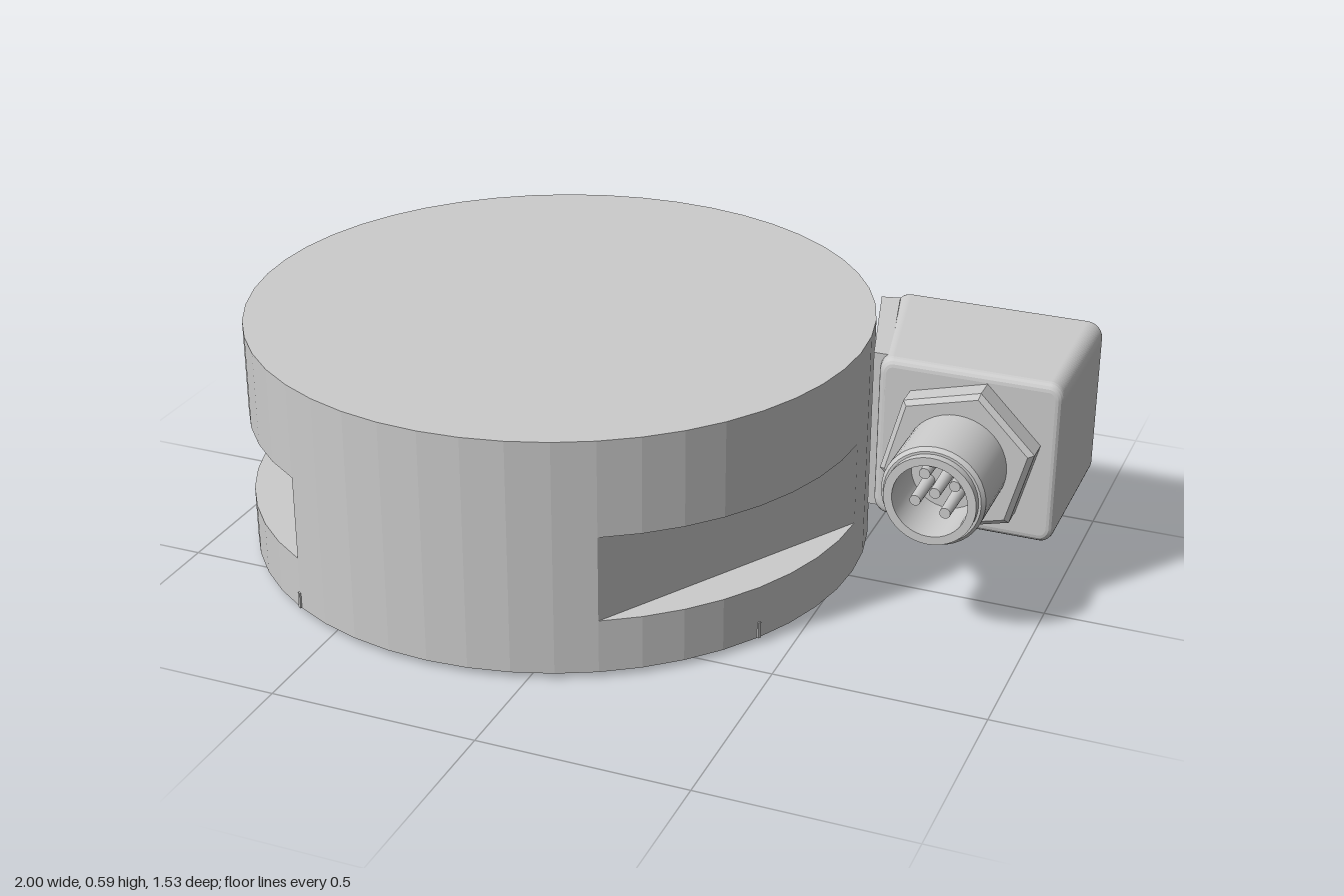
import * as THREE from 'three';

const CX = -0.237, R = 0.763, DEG = Math.PI / 180;
const grey = new THREE.MeshStandardMaterial({ color: 0xcccccc, side: THREE.DoubleSide });

function add(parent, geometry, name) {
  const m = new THREE.Mesh(geometry, grey);
  m.name = name;
  parent.add(m);
  return m;
}

// Plan-view point: angle runs from +x towards +z
const polar = (deg, r) => new THREE.Vector2(r * Math.cos(deg * DEG), -r * Math.sin(deg * DEG));

function circle(r, steps = 48, centre = new THREE.Vector2()) {
  const pts = [];
  for (let i = 0; i < steps; i++) pts.push(polar((i * 360) / steps, r).add(centre));
  return pts;
}

// Horizontal slab between two heights with optional holes
function slab(points, holes, y0, y1) {
  const shape = new THREE.Shape(points);
  shape.holes = holes.map((h) => new THREE.Path(h));
  const g = new THREE.ExtrudeGeometry(shape, { depth: y1 - y0, bevelEnabled: false });
  return g.rotateX(-Math.PI / 2).translate(0, y0, 0);
}

function roundedRect(x0, x1, y0, y1, r) {
  const s = new THREE.Shape();
  s.absarc(x1 - r, y1 - r, r, 0, Math.PI / 2);
  s.absarc(x0 + r, y1 - r, r, Math.PI / 2, Math.PI);
  s.absarc(x0 + r, y0 + r, r, Math.PI, Math.PI * 1.5);
  s.absarc(x1 - r, y0 + r, r, Math.PI * 1.5, Math.PI * 2);
  s.closePath();
  return s;
}

// Slants the inner side of the housing along the drum
function slant(g) {
  const p = g.attributes.position;
  for (let i = 0; i < p.count; i++) {
    const t = THREE.MathUtils.clamp((p.getX(i) - 0.48) / 0.52, 0, 1);
    p.setX(i, p.getX(i) + (p.getZ(i) + 0.43) * 0.207 * (1 - t));
  }
  g.computeVertexNormals();
  return g;
}

function buildDrum() {
  const drum = new THREE.Group();
  drum.name = 'drum';
  drum.position.x = CX;

  // Openings in the underside
  const bore = circle(0.17, 40);
  const boltAngles = [80, 170, 215, 260, 350];
  const bolts = boltAngles.map((a) => circle(a === 215 ? 0.055 : 0.045, 20, polar(a, 0.515)));
  const screwAngles = [0, 1, 2, 3, 4, 5].map((k) => k * 60 + 4);
  const screws = screwAngles.map((a) => circle(0.062, 20, polar(a, 0.255)));
  const dowel = circle(0.025, 14, polar(36, 0.27));
  const slots = [5, 125, 245].map((a) =>
    [[0.57, -0.17], [0.67, -0.17], [0.67, 0.17], [0.57, 0.17]].map(([x, y]) =>
      new THREE.Vector2(x, y).rotateAround(new THREE.Vector2(), -a * DEG)));
  const holes = [bore, dowel, ...bolts, ...screws];

  add(drum, slab(circle(0.618, 72), holes, 0, 0.013), 'basePlate');
  add(drum, slab(circle(R), [...holes, ...slots], 0.013, 0.07), 'lowerRim');
  add(drum, slab(circle(R), [], 0.07, 0.145), 'lowerDisc');

  // Waist with three flat cuts, each a 60 degree chord
  const waist = circle(R).filter((_, i) => {
    const a = (i * 7.5) % 120;
    return a === 0 || a >= 60;
  });
  add(drum, slab(waist, [], 0.145, 0.355), 'notchedWaist');
  add(drum, slab(circle(R), [], 0.355, 0.59), 'upperDisc');

  // Chamfered collar round the bore
  const collar = [[0.185, -0.0005], [0.17, 0.015], [0.155, 0.015], [0.155, 0.069]];
  add(drum, new THREE.LatheGeometry(collar.map((p) => new THREE.Vector2(...p)), 40), 'boreCollar');

  // Socket screws in the counterbores
  for (const a of screwAngles) {
    const p = polar(a, 0.255);
    const head = slab(circle(0.046, 20), [circle(0.025, 6)], 0.008, 0.07);
    add(drum, head, 'baseScrew').position.set(p.x, 0, -p.y);
  }

  // Index ticks on the rim
  for (const a of [30, 120, 210, 300]) {
    const tick = add(drum, new THREE.BoxGeometry(0.008, 0.04, 0.008), 'indexTick');
    const p = polar(a, R);
    tick.position.set(p.x, 0.034, -p.y);
    tick.rotation.y = -a * DEG;
  }
  return drum;
}

function buildHousing() {
  const housing = new THREE.Group();
  housing.name = 'connectorHousing';
  const screwY = [0.252, 0.492], screwX = 0.56;

  // Rounded block with two screw recesses in its back
  const shape = roundedRect(0.48, 1, 0.17, 0.576, 0.04);
  for (const y of screwY) {
    const hole = new THREE.Path();
    hole.absarc(screwX, y, 0.042, 0, Math.PI * 2, true);
    shape.holes.push(hole);
  }
  const block = new THREE.ExtrudeGeometry(shape, {
    depth: 0.37, bevelThickness: 0.02, bevelSize: 0.02, bevelOffset: -0.02, bevelSegments: 4, curveSegments: 10,
  });
  add(housing, slant(block.translate(0, 0, -0.41)), 'block');

  for (const y of screwY) {
    const plug = new THREE.CylinderGeometry(0.0425, 0.0425, 0.33, 24).rotateX(Math.PI / 2);
    add(housing, slant(plug.translate(screwX, y, -0.205).toNonIndexed()), 'mountingScrew');
    const cap = new THREE.CylinderGeometry(0.063, 0.063, 0.02, 24).rotateX(Math.PI / 2);
    add(housing, slant(cap.translate(screwX, y, -0.031).toNonIndexed()), 'holePlug');
  }

  // Thin slanted flange against the drum
  const flange = [[0.455, -0.385], [0.5, -0.395], [0.58, -0.055], [0.54, -0.055]];
  add(housing, slab(flange.map(([x, z]) => new THREE.Vector2(x, -z)), [], 0.175, 0.571), 'mountingFlange');
  return housing;
}

function buildPlug() {
  const plug = new THREE.Group();
  plug.name = 'roundConnector';
  plug.position.set(0.775, 0.372, 0);
  const lathe = (pts, segs, name) =>
    add(plug, new THREE.LatheGeometry(pts.map((p) => new THREE.Vector2(...p)), segs).rotateX(Math.PI / 2), name);

  // Hex nut with a chamfered face
  const nut = new THREE.Shape(circle(0.188, 6).map((p) => p.rotateAround(new THREE.Vector2(), 15 * DEG)));
  const nutGeo = new THREE.ExtrudeGeometry(nut, {
    depth: 0.055, bevelThickness: 0.01, bevelSize: 0.012, bevelOffset: -0.012, bevelSegments: 1,
  });
  add(plug, nutGeo.translate(0, 0, -0.02), 'hexNut');

  // Hollow barrel; separate strips keep the edges sharp
  lathe([[0.122, 0.03], [0.122, 0.222]], 40, 'barrel');
  lathe([[0.122, 0.222], [0.114, 0.232]], 40, 'barrelChamfer');
  lathe([[0.108, 0.232], [0.108, 0.252]], 40, 'barrelTip');
  lathe([[0.114, 0.232], [0.108, 0.232]], 40, 'barrelStep');
  lathe([[0.108, 0.252], [0.088, 0.252]], 40, 'barrelLip');
  lathe([[0.088, 0.252], [0.088, 0.1]], 40, 'socketWall');
  lathe([[0.088, 0.1], [0, 0.1]], 40, 'socketFloor');

  // Five contact pins
  for (let i = 0; i < 5; i++) {
    const pin = new THREE.CylinderGeometry(0.013, 0.015, 0.11, 14).rotateX(Math.PI / 2);
    const p = i < 4 ? polar(i * 90 + 60, 0.052) : new THREE.Vector2();
    add(plug, pin, 'contactPin').position.set(p.x, p.y, 0.155);
  }
  // Keyway rib inside the socket
  add(plug, new THREE.BoxGeometry(0.022, 0.014, 0.13), 'keyRib').position.set(0, 0.082, 0.165);
  return plug;
}

export function createModel() {
  const model = new THREE.Group();
  model.name = 'forceSensor';
  model.add(buildDrum(), buildHousing(), buildPlug());
  return model;
}
